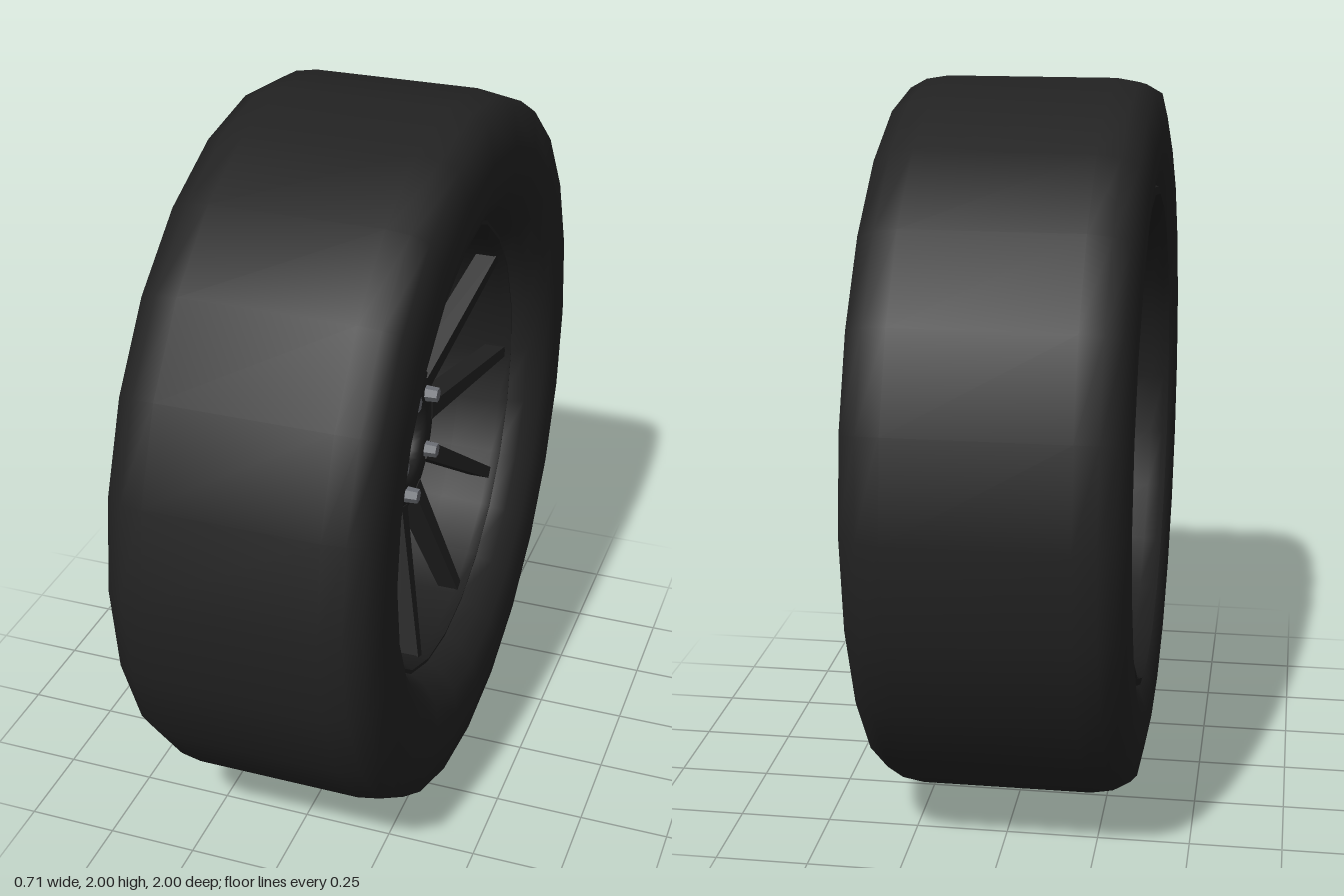
import * as THREE from 'three';
import { toCreasedNormals } from 'three/addons/utils/BufferGeometryUtils.js';

const material = (name, color) => {
  const m = new THREE.MeshStandardMaterial({ color });
  m.name = name;
  return m;
};

// Closed ring turned about the x axis; profile points are [x, radius]
function ring(profile, segments, crease) {
  const pts = [...profile, profile[0]].map(([x, r]) => new THREE.Vector2(r, x));
  const geo = new THREE.LatheGeometry(pts, segments).rotateZ(-Math.PI / 2);
  return toCreasedNormals(geo, crease);
}

// Bar along +z that narrows and leans outward toward the rim
function spokeGeometry() {
  const r0 = 0.19, r1 = 0.635;
  const geo = new THREE.BoxGeometry(1, 1, 1);
  const p = geo.attributes.position;
  for (let i = 0; i < p.count; i++) {
    const t = p.getZ(i) + 0.5;
    const depth = THREE.MathUtils.lerp(0.075, 0.06, t);
    const width = THREE.MathUtils.lerp(0.054, 0.034, t);
    p.setXYZ(i,
      THREE.MathUtils.lerp(0.105, 0.21, t) + p.getX(i) * depth,
      p.getY(i) * width,
      THREE.MathUtils.lerp(r0, r1, t));
  }
  geo.computeVertexNormals();
  return geo;
}

// Arc-shaped block straddling the disc
function caliperGeometry() {
  const a0 = THREE.MathUtils.degToRad(20), a1 = THREE.MathUtils.degToRad(70.5);
  const s = new THREE.Shape();
  s.absarc(0, 0, 0.555, a0, a1, false);
  s.absarc(0, 0, 0.372, a1, a0, true);
  s.closePath();
  const geo = new THREE.ExtrudeGeometry(s, { depth: 0.22, bevelEnabled: false, curveSegments: 10 });
  geo.rotateY(-Math.PI / 2).translate(0.06, 0, 0);
  return toCreasedNormals(geo, 0.6);
}

export function createModel() {
  const rubber = material('black rubber', 0x222222);
  const alloy = material('dark alloy', 0x1f1f1f);
  const steel = material('grey steel', 0x6b6e74);
  const red = material('caliper red', 0xb32c2e);

  const root = new THREE.Group();
  root.name = 'wheel';
  const wheel = new THREE.Group();
  wheel.name = 'wheelAssembly';
  wheel.position.y = 1;
  root.add(wheel);

  const add = (name, geo, mat, parent = wheel) => {
    const mesh = new THREE.Mesh(geo, mat);
    mesh.name = name;
    parent.add(mesh);
    return mesh;
  };

  // Tyre: tread, rounded shoulders and sidewalls
  add('tyre', ring([
    [-0.3, 0.69], [-0.335, 0.72], [-0.355, 0.78], [-0.355, 0.86], [-0.335, 0.965], [-0.29, 0.99], [-0.23, 1],
    [0.23, 1], [0.29, 0.99], [0.335, 0.965], [0.355, 0.86], [0.355, 0.78], [0.34, 0.72],
    [0.3, 0.67], [0.24, 0.64], [0.2, 0.66],
  ], 24, 1), rubber);

  // Rim barrel with a raised lip at the inner side
  add('rimBarrel', ring([
    [-0.325, 0.675], [-0.34, 0.685], [-0.335, 0.705], [-0.3, 0.71],
    [0.25, 0.66], [0.255, 0.635], [0.23, 0.622], [0.1, 0.622], [-0.1, 0.64], [-0.29, 0.662],
  ], 24, 0.8), alloy);

  // Hub with a rounded bore
  add('hub', ring([
    [0.05, 0.1], [0.05, 0.21], [0.065, 0.226], [0.12, 0.226], [0.138, 0.208],
    [0.145, 0.13], [0.138, 0.112], [0.12, 0.1],
  ], 32, 0.7), alloy);

  // Ten spokes
  const spokes = new THREE.Group();
  spokes.name = 'spokes';
  wheel.add(spokes);
  const spokeGeo = spokeGeometry();
  for (let i = 0; i < 10; i++) {
    add('spoke', spokeGeo, alloy, spokes).rotation.x = (i * Math.PI) / 5;
  }

  // Five hexagonal lug nuts
  const nuts = new THREE.Group();
  nuts.name = 'lugNuts';
  wheel.add(nuts);
  const nutGeo = toCreasedNormals(
    new THREE.CylinderGeometry(0.021, 0.024, 0.05, 6).rotateZ(-Math.PI / 2), 0.3);
  for (let i = 0; i < 5; i++) {
    const a = (i * Math.PI * 2) / 5;
    add('lugNut', nutGeo, steel, nuts).position.set(0.155, Math.sin(a) * 0.155, Math.cos(a) * 0.155);
  }

  // Brake disc with a dished centre
  add('brakeDisc', ring([
    [0.0, 0.09], [-0.015, 0.105], [-0.005, 0.125], [0.005, 0.2], [-0.015, 0.235], [-0.075, 0.265], [-0.095, 0.29],
    [-0.1, 0.515], [-0.095, 0.522], [-0.02, 0.522], [-0.015, 0.515],
    [-0.01, 0.29], [0.0, 0.275], [0.035, 0.262], [0.05, 0.24], [0.052, 0.09],
  ], 48, 0.9), steel);

  // Brake caliper
  add('brakeCaliper', caliperGeometry(), red);

  return root;
}
